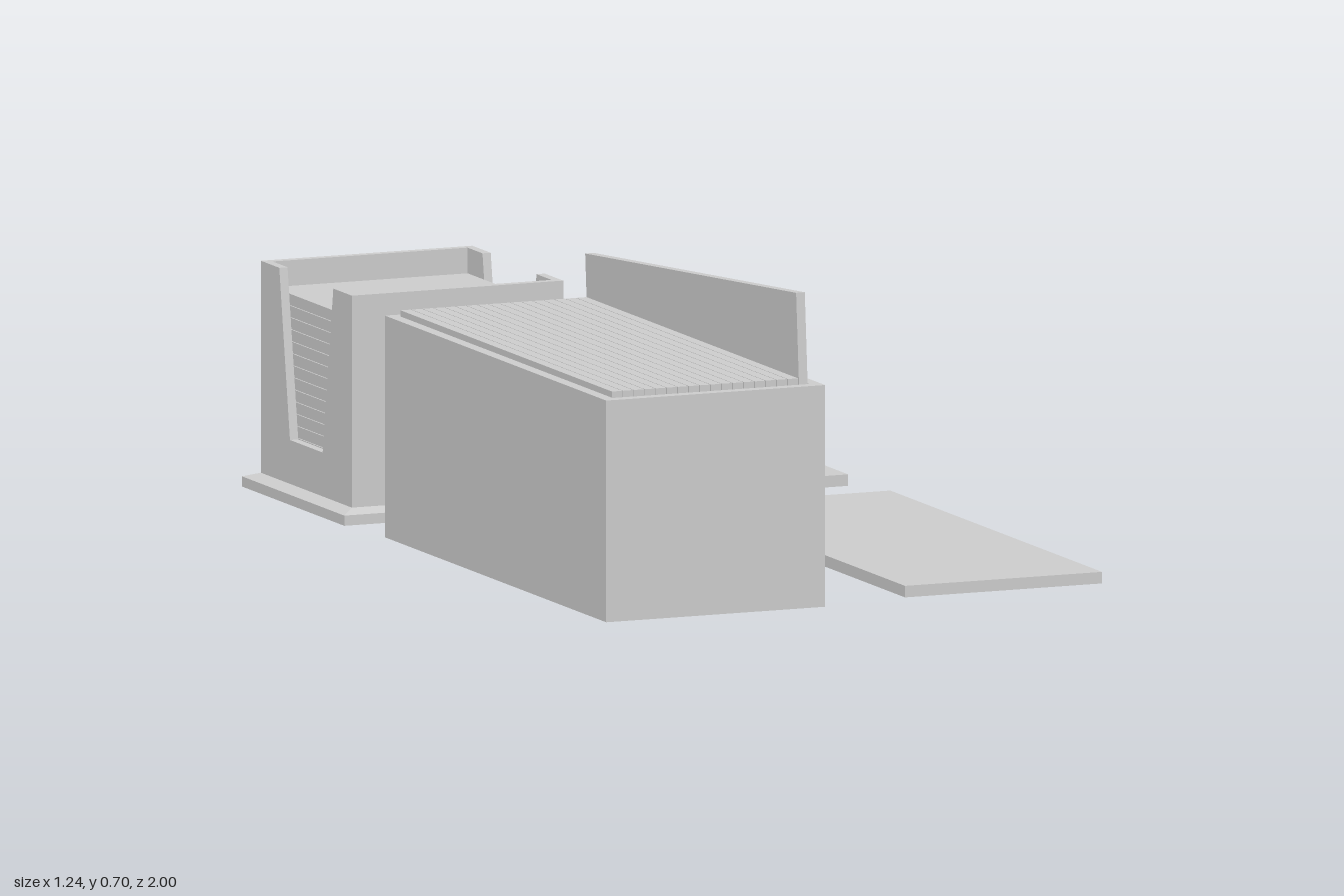
import * as THREE from 'three';

const material = new THREE.MeshStandardMaterial({ color: 0xcccccc, flatShading: true });

function add(parent, name, geometry) {
  const mesh = new THREE.Mesh(geometry, material);
  mesh.name = name;
  parent.add(mesh);
  return mesh;
}

// Box given by its limits on each axis
function block(parent, name, [x0, x1], [y0, y1], [z0, z1]) {
  const mesh = add(parent, name, new THREE.BoxGeometry(x1 - x0, y1 - y0, z1 - z0));
  mesh.position.set((x0 + x1) / 2, (y0 + y1) / 2, (z0 + z1) / 2);
  return mesh;
}

// Upright panel from a [z, y] outline, spanning x0 to x1
function panel(parent, name, outline, x0, x1) {
  const shape = new THREE.Shape(outline.map(([z, y]) => new THREE.Vector2(z, y)));
  const geometry = new THREE.ExtrudeGeometry(shape, { depth: x1 - x0, bevelEnabled: false });
  geometry.rotateY(-Math.PI / 2).translate(x1, 0, 0);
  return add(parent, name, geometry);
}

function group(parent, name) {
  const g = new THREE.Group();
  g.name = name;
  parent.add(g);
  return g;
}

function createLongBox(root) {
  const box = group(root, 'longBox');
  const X = [-0.6, -0.07], Z = [-0.245, 1], H = 0.5, W = 0.027;
  const inZ = [Z[0] + W, Z[1] - W];
  block(box, 'longBoxFloor', X, [0, 0.027], Z);
  block(box, 'longBoxFrontWall', X, [0.027, H], [inZ[1], Z[1]]);
  block(box, 'longBoxBackWall', X, [0.027, H], [Z[0], inZ[0]]);
  block(box, 'longBoxRightWall', [X[0], X[0] + W], [0.027, H], inZ);
  block(box, 'longBoxLeftWall', [X[1] - W, X[1]], [0.027, H], inZ);

  // Row of upright boards
  const pitch = 0.0266;
  for (let i = 0; i < 17; i++) {
    const x = -0.573 + i * pitch;
    block(box, 'uprightBoard', [x, x + 0.0248], [0.027, 0.514], [-0.22, 0.97]);
  }

  // Last board, pulled up at its front end
  panel(box, 'raisedBoard', [[-0.196, 0.14], [0.99, 0.235], [0.953, 0.704], [-0.234, 0.61]], -0.12, -0.099);
}

function createDispenser(root) {
  const box = group(root, 'stackBox');
  const cx = -0.334, cz = -0.711, half = 0.256, inner = 0.236, H = 0.512;
  const X = [cx - half, cx + half], Z = [cz - half, cz + half];
  const inX = [cx - inner, cx + inner], inZ = [cz - inner, cz + inner];

  // Base plate with a sloping, mitred rim
  const outer = 0.288;
  block(box, 'basePlate', [cx - outer, cx + outer], [0, 0.023], [cz - outer, cz + outer]);
  const rim = new THREE.CylinderGeometry(half * Math.SQRT2, outer * Math.SQRT2, 0.011, 4, 1);
  rim.rotateY(Math.PI / 4);
  add(box, 'baseRim', rim).position.set(cx, 0.0285, cz);

  block(box, 'stackBoxFrontWall', X, [0.025, H], [inZ[1], Z[1]]);
  block(box, 'stackBoxBackWall', X, [0.025, H], [Z[0], inZ[0]]);

  // Side walls with a tapering cut-out
  const outline = [
    [inZ[0], 0.025], [inZ[1], 0.025], [inZ[1], H], [cz + 0.152, H],
    [cz + 0.092, 0.133], [cz - 0.092, 0.133], [cz - 0.152, H], [inZ[0], H],
  ];
  panel(box, 'stackBoxRightWall', outline, X[0], inX[0]);
  panel(box, 'stackBoxLeftWall', outline, inX[1], X[1]);

  // Stack of flat boards
  const pitch = 0.0266;
  for (let i = 0; i < 16; i++) {
    const y = 0.03 + i * pitch;
    block(box, 'stackedBoard', inX, [y, y + 0.0252], inZ);
  }
}

export function createModel() {
  const root = new THREE.Group();
  root.name = 'boardBoxes';
  createLongBox(root);
  createDispenser(root);

  // Loose boards lying beside the boxes
  block(root, 'looseLongBoard', [0.143, 0.62], [0, 0.026], [-0.237, 0.955]);
  block(root, 'looseSquareBoard', [0.143, 0.62], [0, 0.026], [-0.951, -0.474]);
  return root;
}
